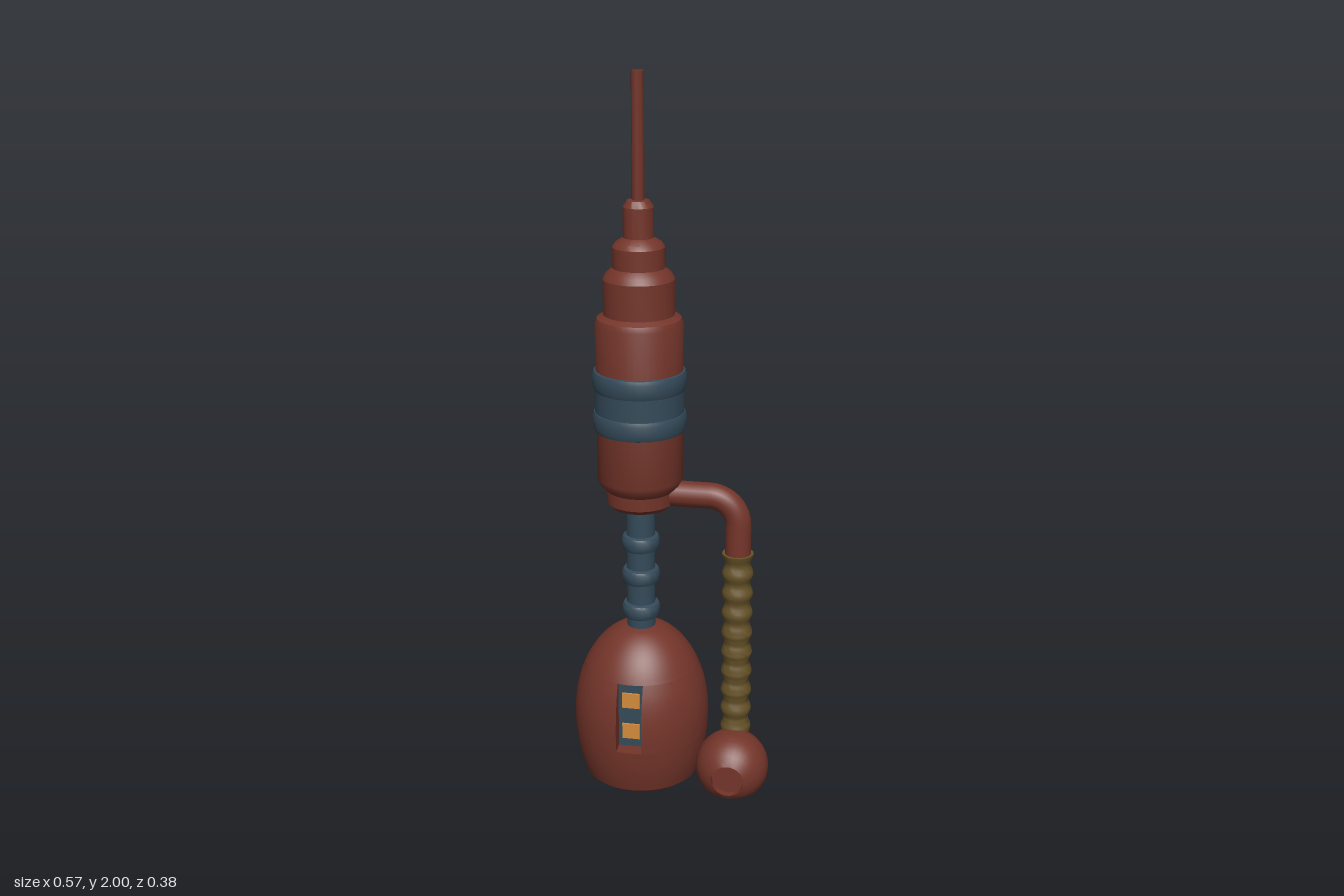
import * as THREE from 'three';
import { toCreasedNormals } from 'three/addons/utils/BufferGeometryUtils.js';

const AXIS = -0.093, HOSE = 0.182;

function paint(name, color, side = THREE.FrontSide) {
  const m = new THREE.MeshStandardMaterial({ color, side });
  m.name = name;
  return m;
}

export function createModel() {
  const model = new THREE.Group();
  model.name = 'model';
  const red = paint('rust red', 0x74352a, THREE.DoubleSide);
  const blue = paint('slate blue', 0x344a59);
  const olive = paint('olive brown', 0x665228);
  const orange = paint('amber', 0xd58b3a);

  const add = (parent, name, geo, mat, x = 0, y = 0, z = 0) => {
    const mesh = new THREE.Mesh(geo, mat);
    mesh.name = name;
    mesh.position.set(x, y, z);
    parent.add(mesh);
    return mesh;
  };
  const lathe = (pts, segs = 40, crease = 0.45) => toCreasedNormals(
    new THREE.LatheGeometry(pts.map(([r, y]) => new THREE.Vector2(r, y)), segs), crease);

  // Everything stacked on the main axis
  const tower = new THREE.Group();
  tower.name = 'tower';
  tower.position.x = AXIS;
  model.add(tower);

  // Egg-shaped base: three bands, the middle one open at the front for a niche
  const radius = (y) => {
    const t = (y - 0.19) / (y > 0.19 ? 0.28 : 0.34);
    return 0.193 * Math.sqrt(Math.max(0, 1 - t * t));
  };
  const band = (y0, y1, n) => Array.from({ length: n + 1 }, (_, i) => {
    const y = y0 + (y1 - y0) * i / n;
    return [radius(y), y];
  });
  const y0 = 0.147, y1 = 0.345, half = 0.036, back = 0.14;
  add(tower, 'baseLower', lathe([[0, 0], [0.15, 0], ...band(0.012, y0, 6)], 48), red);
  add(tower, 'baseUpper', lathe(band(y1, 0.47, 10), 48), red);
  const gap = 0.24, rows = band(y0, y1, 8);
  const middle = new THREE.LatheGeometry(
    rows.map(([r, y]) => new THREE.Vector2(r, y)), 46, gap, Math.PI * 2 - gap * 2);
  const p = middle.attributes.position;
  rows.forEach(([r], i) => {
    const z = Math.sqrt(r * r - half * half);
    p.setX(i, half); p.setZ(i, z);
    const j = p.count - rows.length + i;
    p.setX(j, -half); p.setZ(j, z);
  });
  add(tower, 'baseMiddle', middle, red);

  // Niche walls, floor and ceiling
  const wall = new THREE.Shape([
    new THREE.Vector2(back, y0),
    ...rows.map(([r, y]) => new THREE.Vector2(Math.sqrt(r * r - half * half), y)),
    new THREE.Vector2(back, y1)]);
  for (const s of [-1, 1]) {
    add(tower, 'nicheWall', new THREE.ShapeGeometry(wall).rotateY(-Math.PI / 2), red, s * half);
  }
  for (const [name, y, dir] of [['nicheFloor', y0, -1], ['nicheCeiling', y1, 1]]) {
    const depth = radius(y) - 0.002 - back;
    add(tower, name, new THREE.PlaneGeometry(half * 2, depth).rotateX(dir * Math.PI / 2),
      red, 0, y, back + depth / 2);
  }

  // Lamp panel inside the niche
  add(tower, 'lampPanel', new THREE.BoxGeometry(half * 2, y1 - y0, 0.008), blue,
    0, (y0 + y1) / 2, back + 0.004);
  for (const y of [0.196, 0.292]) {
    add(tower, 'lamp', new THREE.BoxGeometry(0.05, 0.045, 0.008), orange, 0, y, back + 0.01);
  }

  // Stem with collars
  add(tower, 'stem', new THREE.CylinderGeometry(0.04, 0.04, 0.4, 24), blue, 0, 0.65, 0);
  const collar = lathe([[0.038, -0.024], [0.049, -0.02], [0.053, -0.013],
    [0.053, 0.013], [0.049, 0.02], [0.038, 0.024]], 24, 0.7);
  for (const y of [0.51, 0.615, 0.715]) add(tower, 'stemCollar', collar, blue, 0, y);

  // Stepped upper body
  add(tower, 'upperBody', lathe([
    [0, 0.825], [0.08, 0.825], [0.093, 0.838], [0.095, 0.875], [0.112, 0.893], [0.118, 0.91],
    [0.119, 1.345], [0.113, 1.36], [0.096, 1.37], [0.096, 1.465], [0.088, 1.48],
    [0.07, 1.495], [0.07, 1.55], [0.062, 1.562], [0.041, 1.575], [0.041, 1.655],
    [0.03, 1.672], [0, 1.675]], 40), red);
  add(tower, 'antenna', new THREE.CylinderGeometry(0.017, 0.017, 0.34, 8), red, 0, 1.83, 0);

  // Blue belt with two rounded rings
  add(tower, 'belt', new THREE.CylinderGeometry(0.122, 0.122, 0.16, 40), blue, 0, 1.133, 0);
  const ring = lathe([[0.116, -0.029], [0.124, -0.026], [0.128, -0.015],
    [0.128, 0.015], [0.124, 0.026], [0.116, 0.029]], 40, 0.8);
  for (const y of [1.075, 1.19]) add(tower, 'beltRing', ring, blue, 0, y);

  // Elbow pipe leaving the upper body
  const path = new THREE.CurvePath();
  const v = (x, y) => new THREE.Vector3(x, y, 0);
  path.add(new THREE.LineCurve3(v(-0.06, 0.865), v(0.1, 0.865)));
  path.add(new THREE.CubicBezierCurve3(
    v(0.1, 0.865), v(0.146, 0.865), v(HOSE, 0.829), v(HOSE, 0.783)));
  path.add(new THREE.LineCurve3(v(HOSE, 0.783), v(HOSE, 0.69)));
  add(model, 'elbowPipe', new THREE.TubeGeometry(path, 40, 0.036, 20), red);

  // Ribbed hose
  const ribs = [[0, 0.1]];
  for (let i = 0; i <= 60; i++) {
    ribs.push([0.0395 + 0.0045 * Math.cos(i / 6 * Math.PI * 2), 0.1 + 0.01 * i]);
  }
  ribs.push([0, 0.7]);
  add(model, 'hose', lathe(ribs, 24, 1), olive, HOSE);

  // Ball foot with a round socket in front and a flat underside
  const R = 0.104, hole = 0.046, end = Math.PI - Math.asin(hole / R), ball = [];
  for (let i = 0; i <= 18; i++) {
    const a = end * i / 18;
    ball.push(new THREE.Vector2(R * Math.sin(a), -R * Math.cos(a)));
  }
  ball.push(new THREE.Vector2(hole, 0.075), new THREE.Vector2(0, 0.075));
  const foot = new THREE.LatheGeometry(ball, 32).rotateX(Math.PI / 2);
  const q = foot.attributes.position;
  for (let i = 0; i < q.count; i++) q.setY(i, Math.max(q.getY(i), -0.063));
  add(model, 'ballFoot', toCreasedNormals(foot, 0.5), red, HOSE, 0.063, 0.057);

  return model;
}
